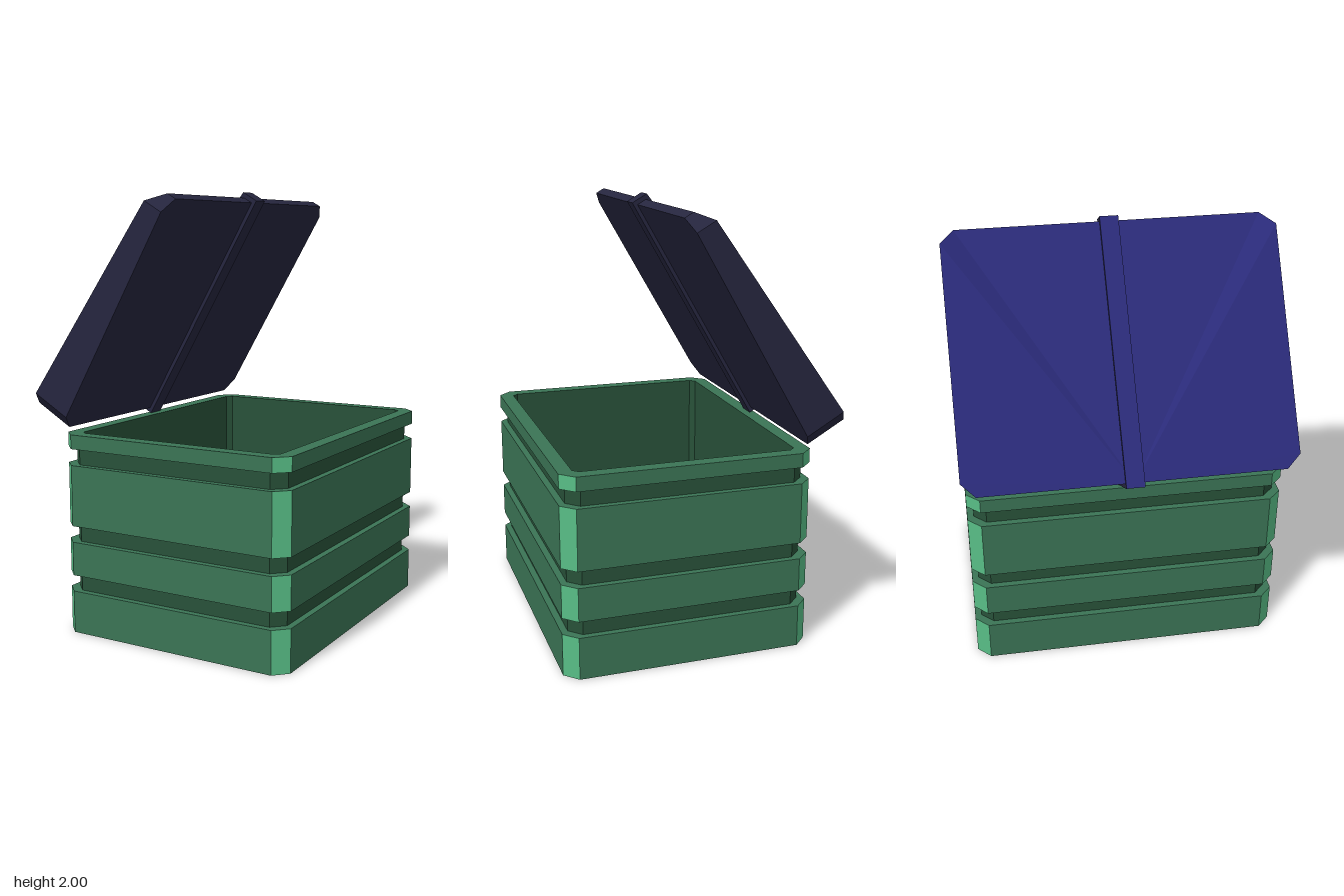
import * as THREE from 'three';

const paint = (name, color) => {
  const m = new THREE.MeshStandardMaterial({ color });
  m.name = name;
  return m;
};

// Rectangle with cut corners, counter-clockwise from above; odd edges are the corner cuts
function octagon(cx, hx, hz, c) {
  const a = hx - c, b = hz - c;
  return [[hx, b], [hx, -b], [a, -hz], [-a, -hz], [-hx, -b], [-hx, b], [-a, hz], [a, hz]]
    .map(([x, z]) => [x + cx, z]);
}

// Lift a flat outline to one height, or to a height per corner
const lift = (outline, y) =>
  outline.map(([x, z], i) => new THREE.Vector3(x, Array.isArray(y) ? y[i] : y, z));

// Collects triangles for one mesh
class Faces {
  constructor() { this.points = []; }
  tri(a, b, c) { this.points.push(a, b, c); }
  // One side of the band between two rings
  side(low, high, i) {
    const j = (i + 1) % low.length;
    this.tri(low[i], low[j], high[j]);
    this.tri(low[i], high[j], high[i]);
  }
  // Fan from a hub point, facing up or down
  cap(ring, hub, up) {
    ring.forEach((p, i) => {
      const q = ring[(i + 1) % ring.length];
      if (up) this.tri(hub, p, q); else this.tri(hub, q, p);
    });
  }
  mesh(name, material) {
    const g = new THREE.BufferGeometry().setFromPoints(this.points);
    g.computeVertexNormals();
    const m = new THREE.Mesh(g, material);
    m.name = name;
    return m;
  }
}

function createBox(green, lightGreen, darkGreen) {
  const cx = 0.09, hx = 0.57, hz = 0.73;
  const ring = (y, inset, cut) => lift(octagon(cx, hx - inset, hz - inset, cut), y);
  const panels = new Faces(), corners = new Faces(), grooves = new Faces(), inside = new Faces();
  const band = (a, b, flat, cut) => {
    for (let i = 0; i < 8; i++) (i % 2 ? cut : flat).side(a, b, i);
  };

  // Raised bands, with a recessed groove between each pair
  const bands = [[0, 0.195], [0.27, 0.425], [0.5, 0.78], [0.855, 0.92]];
  bands.forEach(([y0, y1], k) => {
    band(ring(y0, 0, 0.06), ring(y1, 0, 0.06), panels, corners);
    if (k === bands.length - 1) return;
    const next = bands[k + 1][0];
    const low = ring(y1, 0.03, 0.055), high = ring(next, 0.03, 0.055);
    band(ring(y1, 0, 0.06), low, panels, panels);
    band(low, high, grooves, grooves);
    band(high, ring(next, 0, 0.06), panels, panels);
  });

  // Underside, rim and hollow inside
  panels.cap(ring(0, 0, 0.06), new THREE.Vector3(cx, 0, 0), false);
  const rim = ring(0.92, 0.065, 0.025), floor = ring(0.06, 0.065, 0.025);
  band(ring(0.92, 0, 0.06), rim, panels, panels);
  band(rim, floor, inside, inside);
  inside.cap(floor, new THREE.Vector3(cx, 0.06, 0), true);

  const box = new THREE.Group();
  box.name = 'box';
  box.add(panels.mesh('bands', green), corners.mesh('bandCorners', lightGreen),
    grooves.mesh('grooves', darkGreen), inside.mesh('inside', darkGreen));
  return box;
}

// Wedge with a coloured top and plain sides
function createWedge(name, outline, base, heights, hubX, topMaterial, sideMaterial) {
  const low = lift(outline, base), high = lift(outline, heights);
  const top = new Faces(), sides = new Faces();
  low.forEach((_, i) => sides.side(low, high, i));
  sides.cap(low, new THREE.Vector3(0.6, base, 0), false);
  top.cap(high, new THREE.Vector3(hubX, Math.max(...heights), 0), true);
  const group = new THREE.Group();
  group.name = name;
  group.add(top.mesh(name + 'Top', topMaterial), sides.mesh(name + 'Sides', sideMaterial));
  return group;
}

function createLid(blue, navy) {
  const lid = new THREE.Group();
  lid.name = 'lid';
  // Lid panel, thick at the hinge and thin at the free edge
  lid.add(createWedge('lidPanel', octagon(0.6, 0.58, 0.75, 0.063), 0.017,
    [0.063, 0.063, 0.113, 0.212, 0.214, 0.214, 0.212, 0.113], 0.02, blue, navy));
  // Strap wrapped round the middle
  const w = 0.042;
  lid.add(createWedge('strap', [[1.2, w], [1.2, -w], [0, -w], [0, w]], 0,
    [0.08, 0.08, 0.233, 0.233], 0, blue, navy));
  // Swung open on the hinge
  lid.rotation.z = Math.PI / 3;
  lid.position.set(-0.455, 0.92, 0);
  return lid;
}

export function createModel() {
  const green = paint('green', 0x3b7455);
  const lightGreen = paint('lightGreen', 0x58bd86);
  const darkGreen = paint('darkGreen', 0x285139);
  const blue = paint('blue', 0x2a2a78);
  const navy = paint('navy', 0x26263f);

  const model = new THREE.Group();
  model.name = 'openCrate';
  model.add(createBox(green, lightGreen, darkGreen), createLid(blue, navy));
  return model;
}
